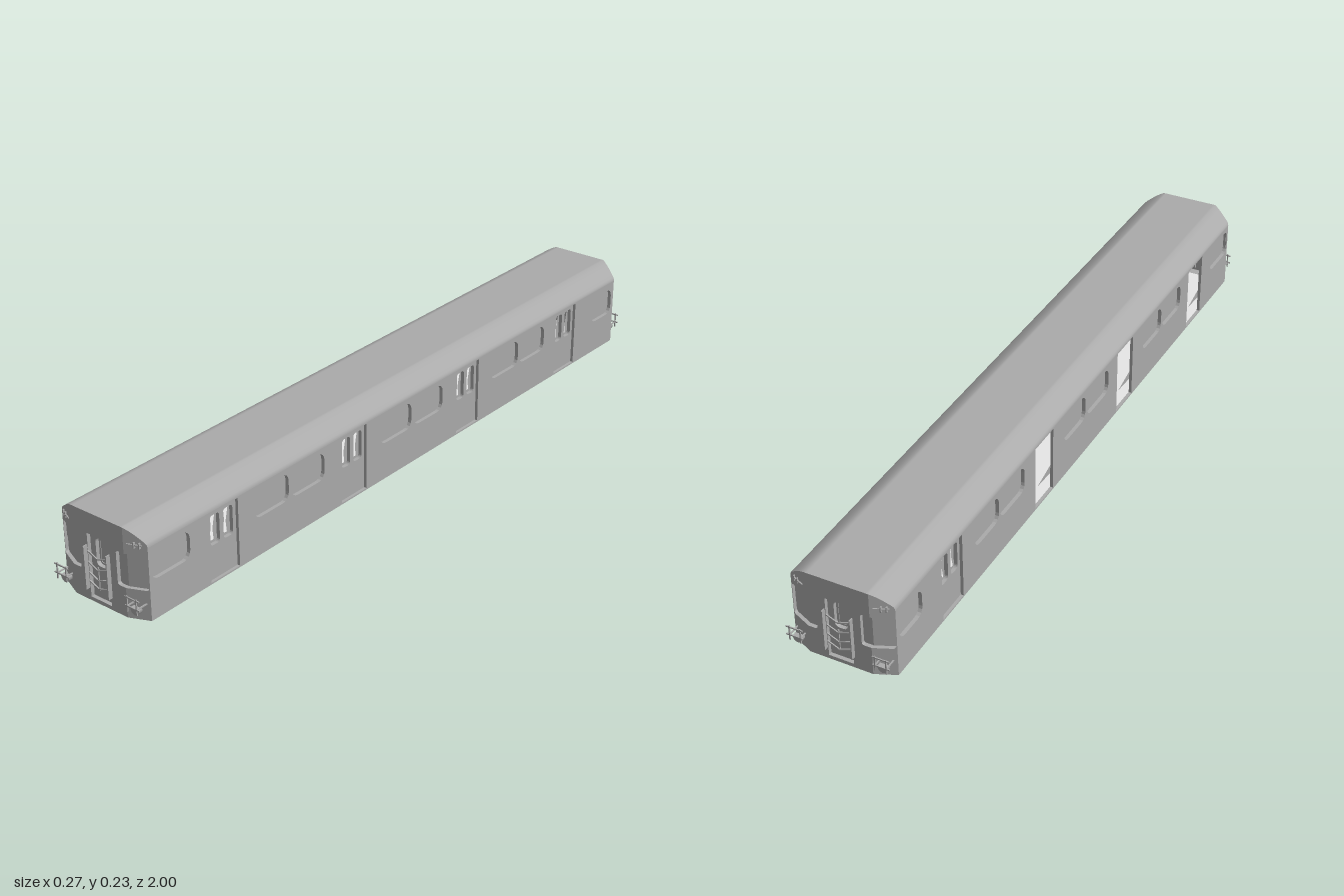
import * as THREE from 'three';
import { mergeGeometries } from 'three/addons/utils/BufferGeometryUtils.js';

const HALF = 0.136, FLAT = 0.083, EAVE = 0.19, TOP = 0.234, FRONT = 0.985;
const V = (x, y, z) => new THREE.Vector3(x, y, z);
const P = (x, y) => new THREE.Vector2(x, y);

// The ends are flat in the middle and angled back towards the corners
const endZ = x => FRONT - Math.max(0, Math.abs(x) - FLAT) / (HALF - FLAT) * 0.023;

export function createModel() {
  // The shell is thin and open, so it shows from both sides
  const paint = new THREE.MeshStandardMaterial({ color: 0xaaaaaa, side: THREE.DoubleSide });
  paint.name = 'grey paint';
  const pale = new THREE.MeshStandardMaterial({ color: 0xffffff });
  pale.name = 'white floor';
  const train = new THREE.Group();
  train.name = 'railCar';

  const add = (parent, name, geometry, material = paint) => {
    const mesh = new THREE.Mesh(geometry, material);
    mesh.name = name;
    parent.add(mesh);
  };

  // Square bars running along a list of points
  const bars = (points, w) => mergeGeometries(points.slice(1).map((b, i) => {
    const a = points[i], length = a.distanceTo(b);
    const up = Math.abs(b.y - a.y) > length * 0.9 ? V(0, 0, 1) : V(0, 1, 0);
    const m = new THREE.Matrix4().lookAt(b, a, up).setPosition(a.clone().lerp(b, 0.5));
    return new THREE.BoxGeometry(w, w, length + w * 0.5).applyMatrix4(m);
  }));

  // Outlines, counterclockwise from the top right corner
  const roundRect = (x0, x1, y0, y1, r) => {
    const out = [];
    const centres = [[x1 - r, y1 - r], [x0 + r, y1 - r], [x0 + r, y0 + r], [x1 - r, y0 + r]];
    centres.forEach(([cx, cy], k) => {
      for (let i = 0; i <= 4; i++) {
        const t = (k + i / 4) * Math.PI / 2;
        out.push(P(cx + r * Math.cos(t), cy + r * Math.sin(t)));
      }
    });
    return out;
  };
  const rect = (x0, x1, y0, y1) => [P(x1, y1), P(x0, y1), P(x0, y0), P(x1, y0)];

  // Flat panel at depth z, with holes
  const panel = (outline, z, holes = []) => {
    const s = new THREE.Shape(outline);
    holes.forEach(h => s.holes.push(new THREE.Path(h)));
    return new THREE.ShapeGeometry(s).translate(0, 0, z);
  };
  // Panel that follows the angled end, set back by d
  const bent = (outline, d) => {
    const g = panel(outline, 0), a = g.attributes.position;
    for (let i = 0; i < a.count; i++) a.setZ(i, endZ(a.getX(i)) - d);
    g.computeVertexNormals();
    return g;
  };
  // Inner rim of a recessed opening, d deep
  const reveal = (outline, zAt, d) => {
    const pos = [];
    outline.forEach((a, i) => {
      const b = outline[(i + 1) % outline.length], za = zAt(a.x), zb = zAt(b.x);
      pos.push(a.x, a.y, za, b.x, b.y, zb, b.x, b.y, zb - d);
      pos.push(a.x, a.y, za, b.x, b.y, zb - d, a.x, a.y, za - d);
    });
    const g = new THREE.BufferGeometry();
    g.setAttribute('position', new THREE.Float32BufferAttribute(pos, 3));
    g.computeVertexNormals();
    return g;
  };

  // Roof: a curved strip whose ends follow the angled corners
  const half = [[HALF, EAVE], [0.1355, 0.195], [0.1325, 0.2], [0.1265, 0.2055], [0.119, 0.2115],
    [0.109, 0.219], [0.097, 0.227], [FLAT, TOP], [0.076, TOP]];
  const profile = [...half, ...half.slice().reverse().map(([x, y]) => [-x, y])];
  const pos = [], idx = [];
  profile.forEach(([x, y], i) => {
    pos.push(x, y, endZ(x), x, y, -endZ(x));
    if (i < profile.length - 1) {
      const a = i * 2;
      idx.push(a, a + 1, a + 2, a + 2, a + 1, a + 3);
    }
  });
  const roof = new THREE.BufferGeometry();
  roof.setAttribute('position', new THREE.Float32BufferAttribute(pos, 3));
  roof.setIndex(idx);
  roof.computeVertexNormals();
  add(train, 'roof', roof);

  // Underside and inner floor
  const zc = endZ(HALF);
  const plan = [P(HALF, -zc), P(HALF, zc), P(FLAT, FRONT), P(-FLAT, FRONT),
    P(-HALF, zc), P(-HALF, -zc), P(-FLAT, -FRONT), P(FLAT, -FRONT)];
  add(train, 'underside', panel(plan, 0).rotateX(Math.PI / 2));
  add(train, 'floor', new THREE.PlaneGeometry(0.255, 1.91).rotateX(-Math.PI / 2).translate(0, 0.004, 0), pale);

  // Side walls with recessed windows and four doorways each
  const doors = [0.717, 0.241, -0.238, -0.709];
  const windows = [[0.83, 0.955], [0.489, 0.612], [0.356, 0.479], [0.008, 0.136],
    [-0.126, -0.003], [-0.473, -0.345], [-0.6, -0.479], [-0.95, -0.848]];
  const D = 0.049, DEEP = 0.008, PANE = 0.01;

  for (const side of [1, -1]) {
    const wall = new THREE.Group();
    wall.name = side > 0 ? 'leftSide' : 'rightSide';
    wall.rotation.y = side * Math.PI / 2;
    train.add(wall);

    const doorways = doors.map(z => rect(-side * z - D, -side * z + D, 0.004, 0.187));
    const panes = windows.map(([z0, z1]) => {
      const c = -side * (z0 + z1) / 2, w = (z1 - z0) / 2, low = z0 < -0.8 ? 0.094 : 0.102;
      return roundRect(c - w, c + w, low, low + 0.075, 0.022);
    });
    add(wall, 'sideWall', panel(rect(-zc, zc, 0, EAVE), HALF, [...doorways, ...panes]));
    for (const p of panes) {
      add(wall, 'windowRim', reveal(p, () => HALF, PANE));
      add(wall, 'windowPane', panel(p, HALF - PANE));
    }

    doors.forEach((z, k) => {
      const c = -side * z, zd = HALF - DEEP;
      add(wall, 'doorRim', reveal(doorways[k], () => HALF, DEEP));
      // Three doorways stand open on one side
      if (side < 0 && k < 3) {
        add(wall, 'doorFragment', panel([P(c - 0.022, 0.052), P(c + D, 0.048), P(c + D, 0.072)], zd));
        return;
      }
      for (const s of [-1, 1]) {
        const m = c + s * 0.0225;
        const ring = roundRect(m - 0.016, m + 0.016, 0.094, 0.173, 0.009);
        const gap = [P(-0.01, 0.101), P(0.005, 0.101), P(0.002, 0.13),
          P(0.01, 0.166), P(-0.005, 0.166), P(-0.003, 0.136)].map(p => P(m + side * p.x, p.y));
        const leaf = rect(Math.min(c, c + s * D), Math.max(c, c + s * D), 0.004, 0.187);
        add(wall, 'doorLeaf', panel(leaf, zd, [ring]));
        add(wall, 'doorWindowRim', reveal(ring, () => zd, PANE));
        add(wall, 'doorWindowPane', panel(ring, zd - PANE, [gap]));
      }
    });
  }

  // Cab window outline, split where the end bends
  const LOW = 0.078, HIGH = 0.167;
  const cab = roundRect(0.058, 0.134, LOW, HIGH, 0.006);
  const inner = [P(FLAT, HIGH), ...cab.slice(5, 15), P(FLAT, LOW)];
  const outer = [P(FLAT, LOW), ...cab.slice(15), ...cab.slice(0, 5), P(FLAT, HIGH)];
  const mirror = (points, s) => points.map(p => P(s * p.x, p.y));

  // Both ends are alike
  const makeEnd = name => {
    const end = new THREE.Group();
    end.name = name;
    train.add(end);

    // Middle panel with the recessed end door
    const edge = [P(FLAT, 0), ...inner.slice().reverse(), P(FLAT, TOP)];
    const doorway = rect(-0.033, 0.033, 0.01, 0.178);
    add(end, 'endWall', panel([...edge, ...mirror(edge, -1).reverse()], FRONT, [doorway]));
    add(end, 'endDoorRim', reveal(doorway, () => FRONT, 0.01));
    const glass = roundRect(-0.017, 0.017, 0.095, 0.168, 0.011);
    const zd = FRONT - 0.01;
    add(end, 'endDoor', panel(doorway, zd, [glass]));
    add(end, 'endDoorWindowRim', reveal(glass, () => zd, PANE));
    add(end, 'endDoorWindowPane', panel(glass, zd - PANE));
    const sash = roundRect(-0.012, 0.012, 0.1, 0.163, 0.007).map(p => V(p.x, p.y, zd - PANE));
    add(end, 'endDoorWindowSash', bars([...sash, sash[0]], 0.003));

    // Safety gate: sagging chains across the end door
    for (const y of [0.132, 0.103, 0.076, 0.053]) {
      add(end, 'gateChain', bars([V(-0.032, y, 0.986), V(0, y - 0.009, 0.99), V(0.032, y, 0.986)], 0.003));
    }
    add(end, 'gateBar', bars([V(0, 0.04, 0.988), V(0, 0.1, 0.988)], 0.003));

    for (const s of [-1, 1]) {
      // Angled corner panel and cab window
      const corner = [P(FLAT, 0), P(HALF, 0), ...half.slice(0, -1).map(([x, y]) => P(x, y)), ...outer.slice().reverse()];
      add(end, 'cornerPanel', bent(mirror(corner, s), 0));
      const ring = mirror([...inner, ...outer.slice(1, -1)], s);
      add(end, 'cabWindowRim', reveal(s > 0 ? ring : ring.reverse(), endZ, PANE));
      for (const part of [inner, outer]) add(end, 'cabWindowPane', bent(mirror(part, s), PANE));

      // Grab post beside the end door
      add(end, 'grabPost', new THREE.BoxGeometry(0.003, 0.114, 0.012).translate(s * 0.036, 0.09, 0.991));

      // Marker lamps
      add(end, 'lampRail', bars([0.092, 0.125].map(x => V(s * x, 0.194, endZ(x) + 0.002)), 0.003));
      for (const x of [0.108, 0.12]) {
        add(end, 'lampPost', new THREE.BoxGeometry(0.003, 0.015, 0.01).translate(s * x, 0.194, endZ(x)));
      }

      // Corner step bracket: an upright frame on two arms, with a cup below
      for (const y of [0.067, 0.044]) {
        add(end, 'bracketRail', bars([V(s * 0.092, y, 0.9985), V(s * 0.135, y, 0.9985)], 0.003));
      }
      for (const x of [0.098, 0.127]) {
        add(end, 'bracketPost', bars([V(s * x, 0.03, 0.9985), V(s * x, 0.07, 0.9985)], 0.003));
        add(end, 'bracketArm', bars([V(s * x, 0.044, endZ(x) - 0.002), V(s * x, 0.044, 0.998)], 0.003));
      }
      const cup = new THREE.CylinderGeometry(0.013, 0.013, 0.012, 12, 1, false, -Math.PI / 2, Math.PI);
      add(end, 'bracketCup', cup.rotateX(Math.PI / 2).scale(1, 1.2, 1).translate(s * 0.112, 0.036, 0.985));
      add(end, 'bracketCupLid', new THREE.BoxGeometry(0.026, 0.002, 0.012).translate(s * 0.112, 0.036, 0.985));
    }
    return end;
  };
  makeEnd('frontEnd');
  makeEnd('backEnd').rotation.y = Math.PI;

  return train;
}
